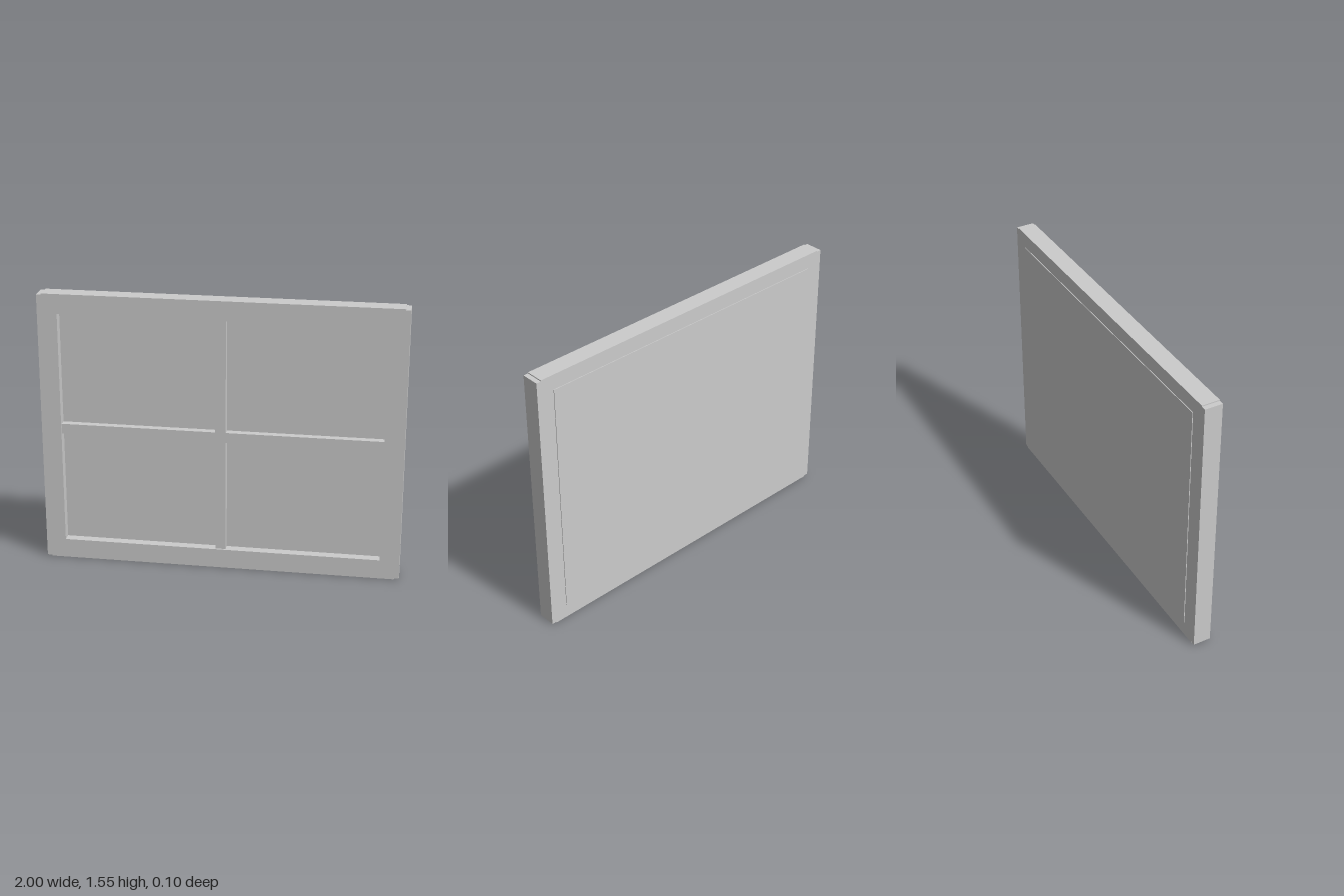
import * as THREE from 'three';

const material = new THREE.MeshStandardMaterial({ color: 0xcccccc });

// Box given by its extents on each axis
function box(name, [x0, x1], [y0, y1], [z0, z1]) {
  const mesh = new THREE.Mesh(new THREE.BoxGeometry(x1 - x0, y1 - y0, z1 - z0), material);
  mesh.position.set((x0 + x1) / 2, (y0 + y1) / 2, (z0 + z1) / 2);
  mesh.name = name;
  return mesh;
}

export function createModel() {
  const model = new THREE.Group();
  model.name = 'window';

  const H = 1.55, border = 0.11, inner = 1 - border;
  const depth = [-0.048, 0.052];

  // Outer frame: rails stop short of the sides, stiles are slightly lower than the rails
  const frame = new THREE.Group();
  frame.name = 'frame';
  frame.add(
    box('bottomRail', [-0.973, 0.973], [0, border], depth),
    box('topRail', [-0.973, 0.973], [H - border, H], depth),
    box('leftStile', [inner, 1], [0.006, H - 0.006], depth),
    box('rightStile', [-1, -inner], [0.006, H - 0.006], depth)
  );

  // Glazing bars, set back a little from the frame front
  const barDepth = [-0.01, 0.041], half = 0.029, mid = H / 2 + 0.002;
  const bars = new THREE.Group();
  bars.name = 'glazingBars';
  bars.add(box('verticalBar', [-half, half], [border, H - border], barDepth));
  for (const [name, a, b] of [['leftBar', half, inner], ['rightBar', -inner, -half]])
    bars.add(box(name, [a, b], [mid - half, mid + half], barDepth));

  // Pane, standing just proud of the frame at the back
  const pane = box('pane', [-0.9, 0.9], [0.085, H - 0.085], [-0.052, 0]);

  model.add(frame, bars, pane);
  return model;
}
